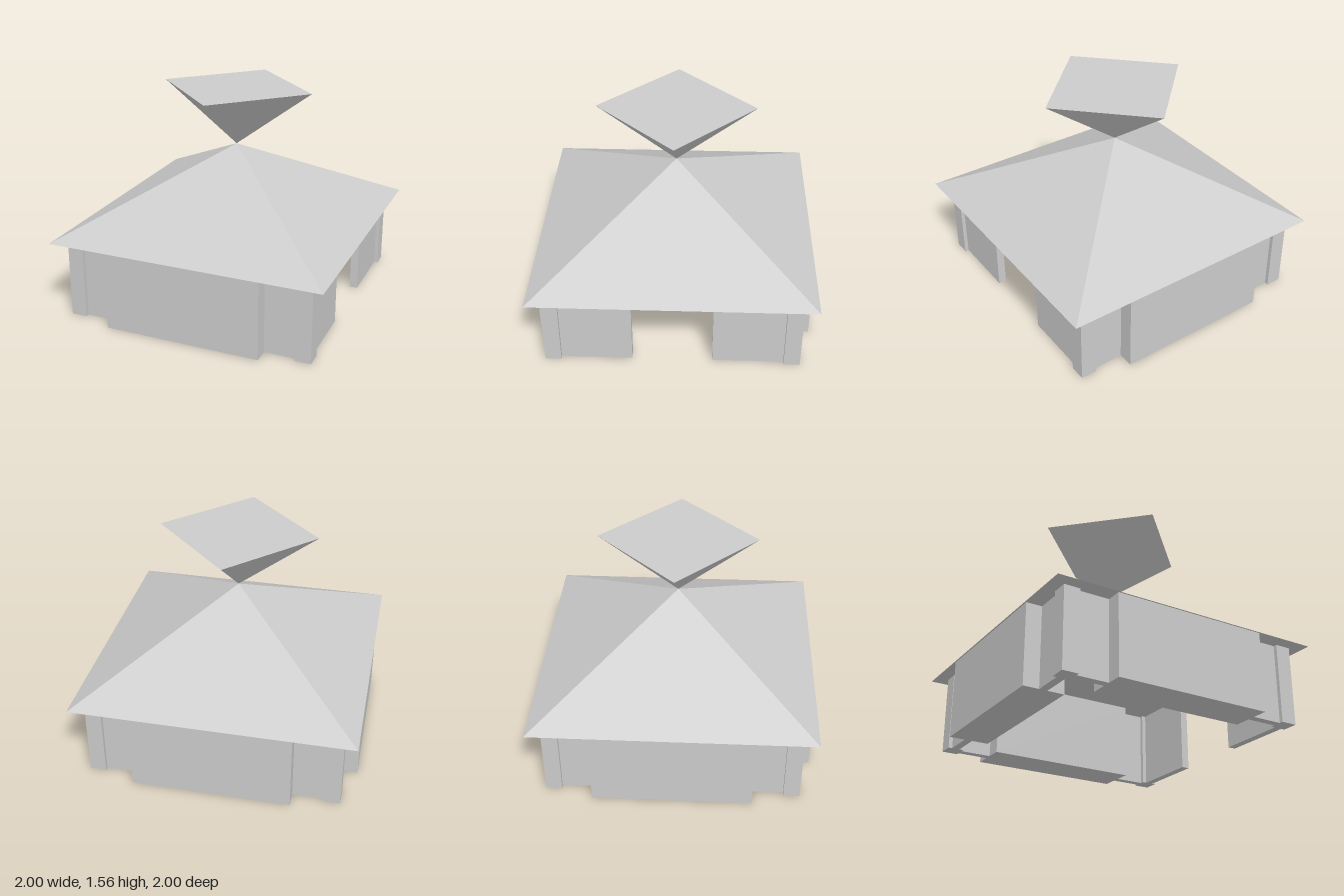
import * as THREE from 'three';

const EAVE = 0.57;          // wall height and roof base
const POST = [0.79, 0.905]; // corner post, inner and outer
const WALL = [0.82, 0.877]; // thin wall, inner and outer
const PANEL = [0.7, 0.99];  // thick panel, inner and outer
const PANEL_HALF = 0.565;

export function createModel() {
  const model = new THREE.Group();
  const material = new THREE.MeshStandardMaterial({ color: 0xcccccc, flatShading: true });

  const add = (parent, name, geometry) => {
    const mesh = new THREE.Mesh(geometry, material);
    mesh.name = name;
    parent.add(mesh);
    return mesh;
  };

  // Full-height block between two x and two z limits
  const block = (parent, name, x0, x1, z0, z1) =>
    add(parent, name, new THREE.BoxGeometry(x1 - x0, EAVE, z1 - z0))
      .position.set((x0 + x1) / 2, EAVE / 2, (z0 + z1) / 2);

  // Corner posts
  const mid = (POST[0] + POST[1]) / 2, half = (POST[1] - POST[0]) / 2;
  for (const sx of [-1, 1]) for (const sz of [-1, 1]) {
    const x = sx * mid, z = sz * mid;
    block(model, 'cornerPost', x - half, x + half, z - half, z + half);
  }

  // Three closed sides: a thick central panel with a thin wall at each end
  const sides = [['frontWall', 0], ['rightWall', -Math.PI / 2], ['backWall', Math.PI]];
  for (const [name, angle] of sides) {
    const side = new THREE.Group();
    side.name = name;
    block(side, 'thickPanel', -PANEL_HALF, PANEL_HALF, ...PANEL);
    block(side, 'thinWall', -POST[0], -PANEL_HALF, ...WALL);
    block(side, 'thinWall', PANEL_HALF, POST[0], ...WALL);
    side.rotation.y = angle;
    model.add(side);
  }

  // Open side: thin wall cut by a doorway
  const w = POST[0], d = 0.285, h = 0.485;
  const outline = [[-w, 0], [-d, 0], [-d, h], [d, h], [d, 0], [w, 0], [w, EAVE], [-w, EAVE]];
  const shape = new THREE.Shape(outline.map(([x, y]) => new THREE.Vector2(x, y)));
  const doorWall = new THREE.ExtrudeGeometry(shape, { depth: WALL[1] - WALL[0], bevelEnabled: false });
  doorWall.translate(0, 0, WALL[0]);
  add(model, 'doorwayWall', doorWall).rotation.y = Math.PI / 2;

  // Pyramid roof with a flat underside
  const roofHeight = 0.565;
  const roof = add(model, 'roof', new THREE.ConeGeometry(Math.SQRT2, roofHeight, 4));
  roof.rotation.y = Math.PI / 4;
  roof.position.y = EAVE + roofHeight / 2;

  // Inverted pyramid balanced on the roof tip
  const finialHeight = 0.425;
  const finial = add(model, 'finial', new THREE.ConeGeometry(0.565, finialHeight, 4));
  finial.rotation.x = Math.PI;
  finial.position.y = EAVE + roofHeight + finialHeight / 2;

  return model;
}
